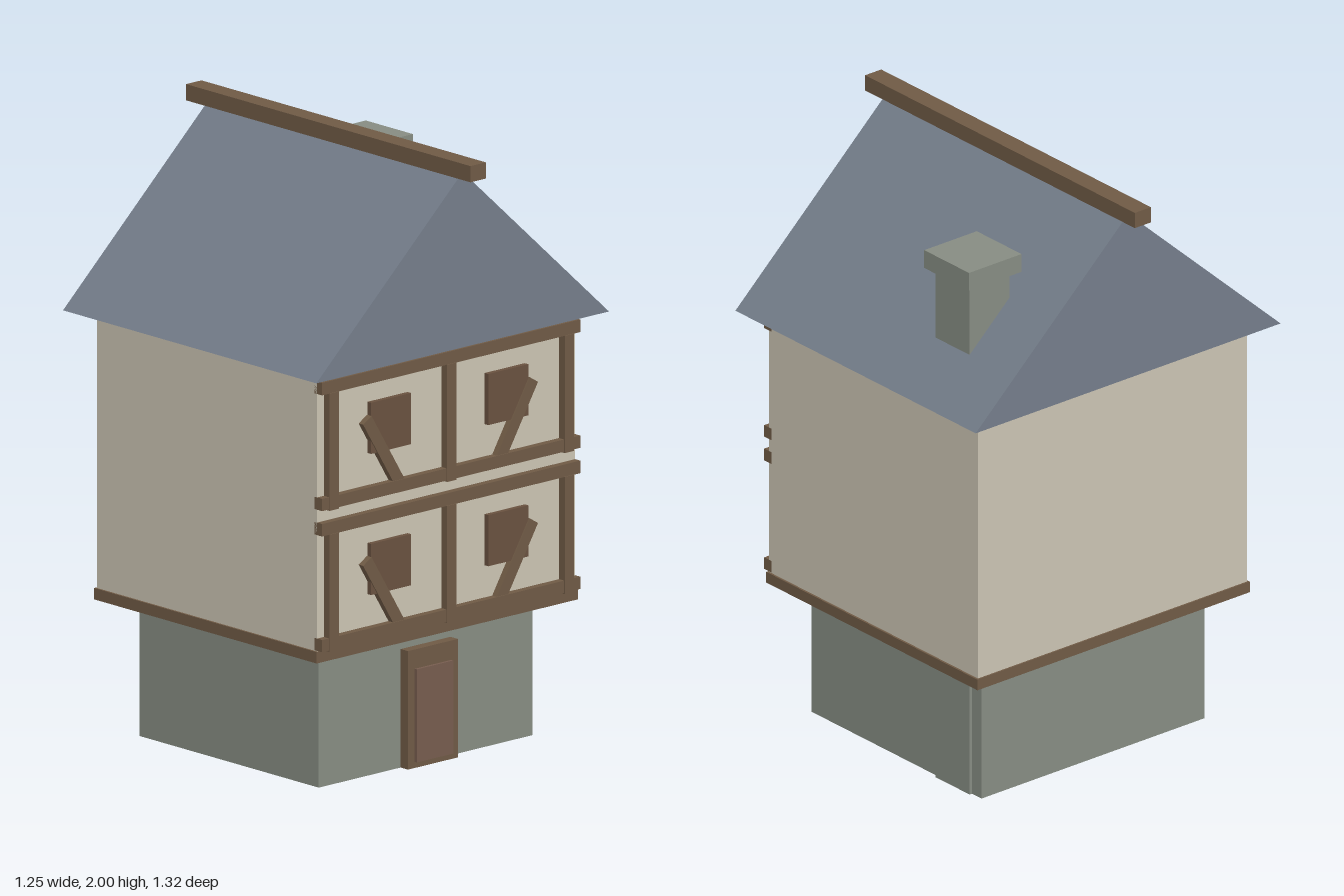
import * as THREE from 'three';

const material = (color) => new THREE.MeshStandardMaterial({ color, flatShading: true });

export function createModel() {
  const house = new THREE.Group();
  house.name = 'timberFramedHouse';

  const stone = material(0x868c82);
  const plaster = material(0xcac3b2);
  const timber = material(0x6f5a45);
  const windowWood = material(0x69513f);
  const doorWood = material(0x765c4e);
  const slate = material(0x747d8a);

  // Box given by its low and high extents on each axis
  function box(name, mat, [x0, x1], [y0, y1], [z0, z1], parent = house) {
    const mesh = new THREE.Mesh(new THREE.BoxGeometry(x1 - x0, y1 - y0, z1 - z0), mat);
    mesh.position.set((x0 + x1) / 2, (y0 + y1) / 2, (z0 + z1) / 2);
    mesh.name = name;
    parent.add(mesh);
    return mesh;
  }

  // Walls and the ledge between the storeys
  box('groundFloor', stone, [-0.458, 0.458], [0, 0.45], [-0.416, 0.416]);
  box('ledge', timber, [-0.56, 0.56], [0.445, 0.482], [-0.517, 0.517]);
  box('upperFloors', plaster, [-0.553, 0.553], [0.48, 1.39], [-0.511, 0.511]);

  // Door with its frame
  box('doorFrame', timber, [-0.107, 0.107], [0, 0.387], [0.41, 0.45]);
  box('door', doorWood, [-0.078, 0.078], [0.02, 0.324], [0.42, 0.46]);

  // Gable roof, closed at the ends and below
  const gable = new THREE.Shape([
    new THREE.Vector2(-0.627, 1.387),
    new THREE.Vector2(0.627, 1.387),
    new THREE.Vector2(0, 1.96),
  ]);
  const roofGeometry = new THREE.ExtrudeGeometry(gable, { depth: 1.176, bevelEnabled: false });
  roofGeometry.translate(0, 0, -0.588);
  const roof = new THREE.Mesh(roofGeometry, slate);
  roof.name = 'roof';
  house.add(roof);
  box('ridgeBeam', timber, [-0.033, 0.033], [1.947, 2], [-0.66, 0.66]);

  // Chimney running from the ground up through the roof
  box('chimneyShaft', stone, [0.304, 0.468], [0, 1.78], [-0.369, -0.203]);
  box('chimneyCap', stone, [0.278, 0.494], [1.774, 1.836], [-0.397, -0.178]);

  // Front framing, the same on both upper storeys
  for (const [storey, y] of [['lower', 0.484], ['upper', 0.945]]) {
    const frame = new THREE.Group();
    frame.name = storey + 'Framing';
    frame.position.y = y;
    house.add(frame);

    box('sillBeam', timber, [-0.553, 0.553], [0, 0.04], [0.5, 0.535], frame);
    box('headBeam', timber, [-0.553, 0.553], [0.378, 0.419], [0.5, 0.535], frame);
    for (const x of [-0.504, 0, 0.504]) {
      box('post', timber, [x - 0.02, x + 0.02], [-0.004, 0.379], [0.5, 0.538], frame);
    }
    for (const side of [-1, 1]) {
      const x = side * 0.251;
      box('window', windowWood, [x - 0.086, x + 0.086], [0.145, 0.312], [0.5, 0.528], frame);
      // Brace leaning outwards from the sill beam
      const brace = box('brace', timber, [-0.021, 0.021], [-0.141, 0.141], [0.5, 0.532], frame);
      brace.position.x = side * 0.283;
      brace.position.y = 0.139;
      brace.rotation.z = -side * 0.55;
    }
  }
  return house;
}
